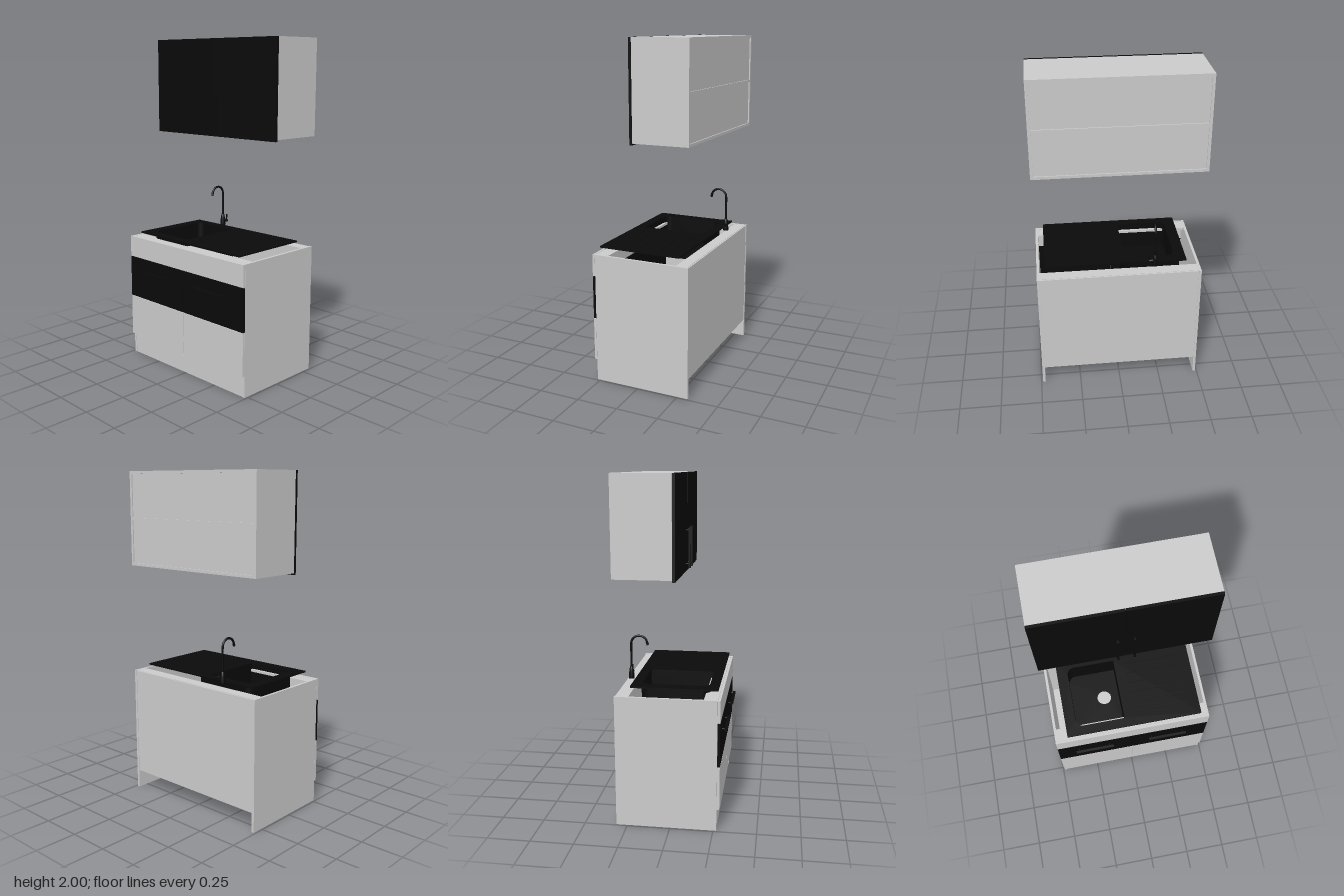
import * as THREE from 'three';

const grey = new THREE.MeshStandardMaterial({ color: 0xcccccc });
const black = new THREE.MeshStandardMaterial({ color: 0x0a0a0a });

function add(parent, name, geometry, material) {
  const mesh = new THREE.Mesh(geometry, material);
  mesh.name = name;
  parent.add(mesh);
  return mesh;
}

// Box given by its limits on each axis
function box(parent, name, [x0, x1], [y0, y1], [z0, z1], material = grey) {
  const mesh = add(parent, name, new THREE.BoxGeometry(x1 - x0, y1 - y0, z1 - z0), material);
  mesh.position.set((x0 + x1) / 2, (y0 + y1) / 2, (z0 + z1) / 2);
  return mesh;
}

// Round bar between two points
function rod(parent, name, a, b, r, material = black) {
  const from = new THREE.Vector3(...a), to = new THREE.Vector3(...b);
  const dir = to.clone().sub(from);
  const mesh = add(parent, name, new THREE.CylinderGeometry(r, r, dir.length(), 16), material);
  mesh.position.copy(from).add(to).multiplyScalar(0.5);
  mesh.quaternion.setFromUnitVectors(new THREE.Vector3(0, 1, 0), dir.normalize());
}

// Plan outline (x, z) with separate corner radii for its -x and +x ends
function outline(Type, x0, x1, z0, z1, rl, rr) {
  const s = new Type(), b = -z1, t = -z0;
  s.moveTo(x0 + rl, b);
  s.lineTo(x1 - rr, b);
  s.absarc(x1 - rr, b + rr, rr, -Math.PI / 2, 0);
  s.lineTo(x1, t - rr);
  s.absarc(x1 - rr, t - rr, rr, 0, Math.PI / 2);
  s.lineTo(x0 + rl, t);
  s.absarc(x0 + rl, t - rl, rl, Math.PI / 2, Math.PI);
  s.lineTo(x0, b + rl);
  s.absarc(x0 + rl, b + rl, rl, Math.PI, Math.PI * 1.5);
  return s;
}

// Horizontal slab extruded upward from a plan outline
function slab(parent, name, shape, y0, y1) {
  const g = new THREE.ExtrudeGeometry(shape, { depth: y1 - y0, bevelEnabled: false, curveSegments: 10 });
  g.rotateX(-Math.PI / 2);
  add(parent, name, g, black).position.y = y0;
}

function wallCabinet() {
  const g = new THREE.Group();
  g.name = 'wallCabinet';
  const z = [-0.315, 0.017], inner = [-0.474, 0.474];
  for (const s of [-1, 1]) {
    box(g, 'wallCabinetSide', s < 0 ? [-0.49, -0.474] : [0.474, 0.49], [1.44, 2], z);
    box(g, 'wallCabinetDoor', s < 0 ? [-0.49, -0.002] : [0.002, 0.49], [1.43, 2], [0.018, 0.034], black);
    // Upright handle beside the centre gap
    const x = s * 0.045;
    box(g, 'wallDoorHandle', [x - 0.006, x + 0.006], [1.45, 1.69], [0.05, 0.062], black);
    for (const y of [1.475, 1.67]) rod(g, 'handlePost', [x, y, 0.034], [x, y, 0.052], 0.004);
  }
  box(g, 'wallCabinetTop', inner, [1.984, 2], z);
  box(g, 'wallCabinetBottom', inner, [1.44, 1.456], z);
  box(g, 'wallCabinetShelf', inner, [1.713, 1.727], z);
  box(g, 'upperBackPanel', inner, [1.727, 1.984], [-0.308, -0.302]);
  box(g, 'lowerBackPanel', inner, [1.456, 1.713], [-0.308, -0.302]);
  return g;
}

function baseCabinet() {
  const g = new THREE.Group();
  g.name = 'baseCabinet';
  const inner = [-0.474, 0.474];
  for (const s of [-1, 1]) {
    const half = s < 0 ? [-0.49, -0.002] : [0.002, 0.49];
    box(g, 'baseSide', s < 0 ? [-0.49, -0.474] : [0.474, 0.49], [0, 0.78], [-0.315, 0.269]);
    box(g, 'baseDoor', half, [0.13, 0.387], [0.27, 0.285]);
    box(g, 'drawerFront', half, [0.39, 0.646], [0.27, 0.285], black);
    // Horizontal drawer handle on two posts
    const x0 = s < 0 ? -0.375 : 0.105;
    box(g, 'drawerHandle', [x0, x0 + 0.245], [0.564, 0.576], [0.299, 0.315], black);
    for (const dx of [0.02, 0.22]) rod(g, 'handlePost', [x0 + dx, 0.57, 0.285], [x0 + dx, 0.57, 0.302], 0.004);
  }
  box(g, 'frontFascia', [-0.49, 0.49], [0.65, 0.78], [0.27, 0.285]);
  box(g, 'plinth', inner, [0, 0.112], [0.25, 0.266]);
  box(g, 'floorPanel', inner, [0.114, 0.13], [-0.308, 0.269]);
  box(g, 'backPanel', inner, [0.114, 0.777], [-0.312, -0.304]);
  box(g, 'frontTopRail', inner, [0.764, 0.779], [0.19, 0.269]);
  box(g, 'backTopRail', inner, [0.764, 0.779], [-0.304, -0.235]);
  return g;
}

function sink() {
  const g = new THREE.Group();
  g.name = 'sink';
  const hole = [-0.343, -0.04, -0.182, 0.208, 0.045, 0.006];

  // Worktop plate with bowl cut-out
  const plate = outline(THREE.Shape, -0.41, 0.44, -0.24, 0.265, 0.006, 0.006);
  plate.holes.push(outline(THREE.Path, ...hole));
  slab(g, 'sinkPlate', plate, 0.81, 0.818);

  // Bowl walls and floor with drain hole
  const wall = outline(THREE.Shape, -0.355, -0.034, -0.19, 0.214, 0.05, 0.008);
  wall.holes.push(outline(THREE.Path, ...hole));
  slab(g, 'bowlWall', wall, 0.65, 0.81);
  const floor = outline(THREE.Shape, -0.355, -0.034, -0.19, 0.214, 0.05, 0.008);
  floor.holes.push(new THREE.Path().absarc(-0.135, 0.003, 0.045, 0, Math.PI * 2));
  slab(g, 'bowlFloor', floor, 0.644, 0.65);

  // Draining ridges
  for (let i = 0; i < 6; i++) {
    const z = -0.15 + i * 0.065;
    box(g, 'drainerRidge', [0.03, 0.38], [0.816, 0.8195], [z - 0.005, z + 0.005], black);
  }
  box(g, 'drainerLip', [-0.034, 0.12], [0.804, 0.81], [-0.16, 0.185], black);
  return g;
}

function faucet() {
  const g = new THREE.Group();
  g.name = 'faucet';
  // Tapered body
  const profile = [[0, 0], [0.017, 0], [0.017, 0.012], [0.014, 0.045], [0.009, 0.072], [0, 0.076]];
  add(g, 'faucetBody', new THREE.LatheGeometry(profile.map(p => new THREE.Vector2(...p)), 24), black);
  // Swan neck
  const R = 0.048, points = [new THREE.Vector3(0, 0.06, 0), new THREE.Vector3(0, 0.14, 0)];
  for (let i = 0; i <= 10; i++) {
    const a = Math.PI * (1 - i / 10 * 0.93);
    points.push(new THREE.Vector3(0, 0.211 + R * Math.sin(a), R + R * Math.cos(a)));
  }
  points.push(new THREE.Vector3(0, 0.205, 2 * R + 0.002));
  add(g, 'faucetNeck', new THREE.TubeGeometry(new THREE.CatmullRomCurve3(points), 48, 0.0065, 12), black);
  rod(g, 'spoutTip', [0, 0.225, 2 * R - 0.003], [0, 0.208, 2 * R + 0.002], 0.0075);
  // Side lever
  rod(g, 'leverStub', [0, 0.034, 0], [0.038, 0.034, 0], 0.009);
  rod(g, 'lever', [0.033, 0.03, 0], [0.036, 0.075, 0], 0.004);
  g.position.set(-0.213, 0.81, -0.268);
  return g;
}

export function createModel() {
  const model = new THREE.Group();
  model.name = 'kitchenSinkUnit';
  model.add(wallCabinet(), baseCabinet(), sink(), faucet());
  return model;
}
